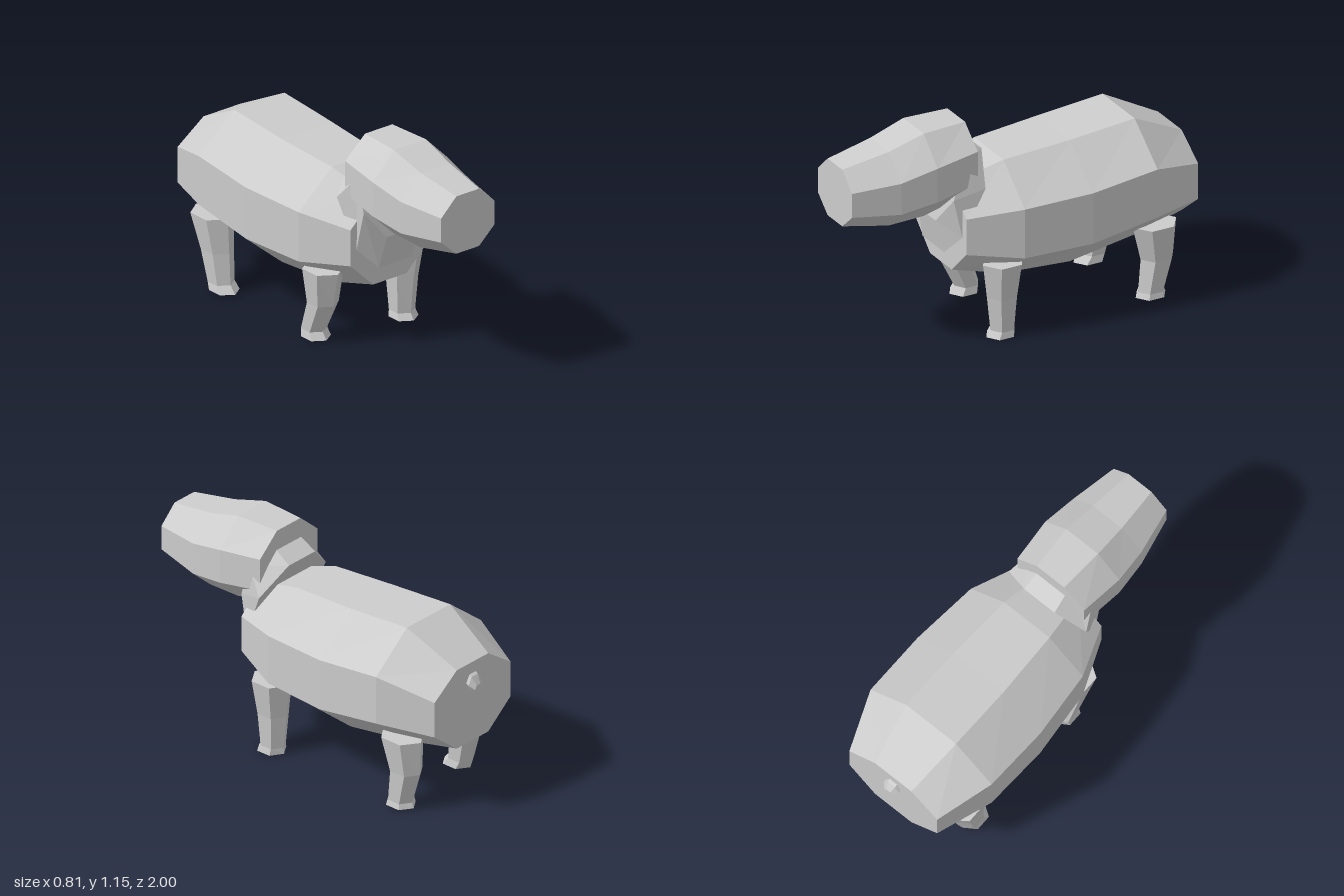
import * as THREE from 'three';

const hide = new THREE.MeshStandardMaterial({ color: 0xcccccc });
hide.name = 'grey hide';

// Skin a list of equal-sized rings and close both ends; unshared corners keep facets flat.
function loft(name, rings) {
  const pos = [];
  const tri = (...pts) => pts.forEach((p) => pos.push(...p));
  const n = rings[0].length;
  for (let r = 0; r < rings.length - 1; r++) {
    const a = rings[r], b = rings[r + 1];
    for (let i = 0; i < n; i++) {
      const j = (i + 1) % n;
      tri(a[i], b[i], b[j]);
      tri(a[i], b[j], a[j]);
    }
  }
  const first = rings[0], last = rings[rings.length - 1];
  for (let i = 1; i < n - 1; i++) {
    tri(first[0], first[i], first[i + 1]);
    tri(last[0], last[i + 1], last[i]);
  }
  const geo = new THREE.BufferGeometry();
  geo.setAttribute('position', new THREE.Float32BufferAttribute(pos, 3));
  geo.computeVertexNormals();
  const mesh = new THREE.Mesh(geo, hide);
  mesh.name = name;
  return mesh;
}

// Octagon mirrored about x = 0 from four [halfWidth, y, z] levels, bottom to top.
function octagon([bottom, low, high, top]) {
  const right = ([x, y, z]) => [-x, y, z];
  return [low, high, top, right(top), right(high), right(low), right(bottom), bottom];
}

// Upright octagon: z, side half width, flat half width, then the four heights.
const slice = ([z, w, f, bottom, low, high, top]) =>
  octagon([[f, bottom, z], [w, low, z], [w, high, z], [f, top, z]]);

// Horizontal hexagon with corners pointing forward and back.
function hexagon([y, x, z, rx, rz]) {
  return Array.from({ length: 6 }, (_, i) => {
    const a = Math.PI / 2 + (i * Math.PI) / 3;
    return [x + (rx * Math.cos(a)) / Math.cos(Math.PI / 6), y, z - rz * Math.sin(a)];
  });
}

export function createModel() {
  const model = new THREE.Group();
  model.name = 'animal';

  // Barrel body
  model.add(loft('body', [
    [0.38, 0.26, 0.11, 0.35, 0.495, 0.695, 0.835],
    [0.10, 0.37, 0.15, 0.28, 0.455, 0.73, 0.92],
    [-0.28, 0.405, 0.165, 0.26, 0.46, 0.745, 0.945],
    [-0.66, 0.40, 0.165, 0.32, 0.515, 0.785, 0.975],
    [-0.96, 0.29, 0.12, 0.365, 0.50, 0.70, 0.82],
  ].map(slice)));

  // Head and blunt muzzle
  model.add(loft('head', [
    [1.0, 0.175, 0.075, 0.73, 0.82, 0.955, 1.05],
    [0.74, 0.225, 0.095, 0.68, 0.795, 0.97, 1.095],
    [0.54, 0.245, 0.105, 0.69, 0.825, 1.015, 1.155],
    [0.29, 0.22, 0.09, 0.74, 0.86, 1.04, 1.155],
  ].map(slice)));

  // Short tilted neck collar
  model.add(loft('neck', [
    octagon([[0.085, 0.635, 0.46], [0.21, 0.79, 0.425], [0.21, 0.97, 0.37], [0.09, 1.08, 0.35]]),
    octagon([[0.11, 0.46, 0.425], [0.22, 0.575, 0.38], [0.255, 0.84, 0.265], [0.10, 0.99, 0.20]]),
  ]));

  // Walking legs: side, then [y, z, rx, rz] from top to sole
  const legs = {
    frontLeftLeg: [1, [0.415, 0.168, 0.09, 0.117], [0.22, 0.167, 0.07, 0.09],
      [0.035, 0.167, 0.058, 0.07], [0, 0.178, 0.065, 0.083]],
    frontRightLeg: [-1, [0.415, 0.168, 0.09, 0.117], [0.22, 0.155, 0.07, 0.085],
      [0.05, 0.085, 0.058, 0.07], [0.01, 0.1, 0.065, 0.083]],
    backLeftLeg: [1, [0.415, -0.718, 0.09, 0.127], [0.22, -0.737, 0.07, 0.095],
      [0.04, -0.702, 0.058, 0.075], [0.01, -0.7, 0.065, 0.087]],
    backRightLeg: [-1, [0.415, -0.718, 0.09, 0.127], [0.22, -0.685, 0.07, 0.095],
      [0.05, -0.655, 0.058, 0.075], [0.01, -0.63, 0.065, 0.087]],
  };
  for (const [name, [side, ...levels]] of Object.entries(legs)) {
    model.add(loft(name, levels.map(([y, z, rx, rz]) =>
      hexagon([y, side * (y > 0.4 ? 0.265 : 0.256), z, rx, rz]))));
  }

  // Stub tail, drooping slightly
  model.add(loft('tail', [
    [-0.94, 0.725, 0.05], [-0.975, 0.705, 0.048], [-1.0, 0.68, 0.026],
  ].map(([z, y, r]) => Array.from({ length: 6 }, (_, i) => {
    const a = (i * Math.PI) / 3;
    return [r * Math.cos(a), y + r * Math.sin(a), z];
  }))));

  return model;
}
